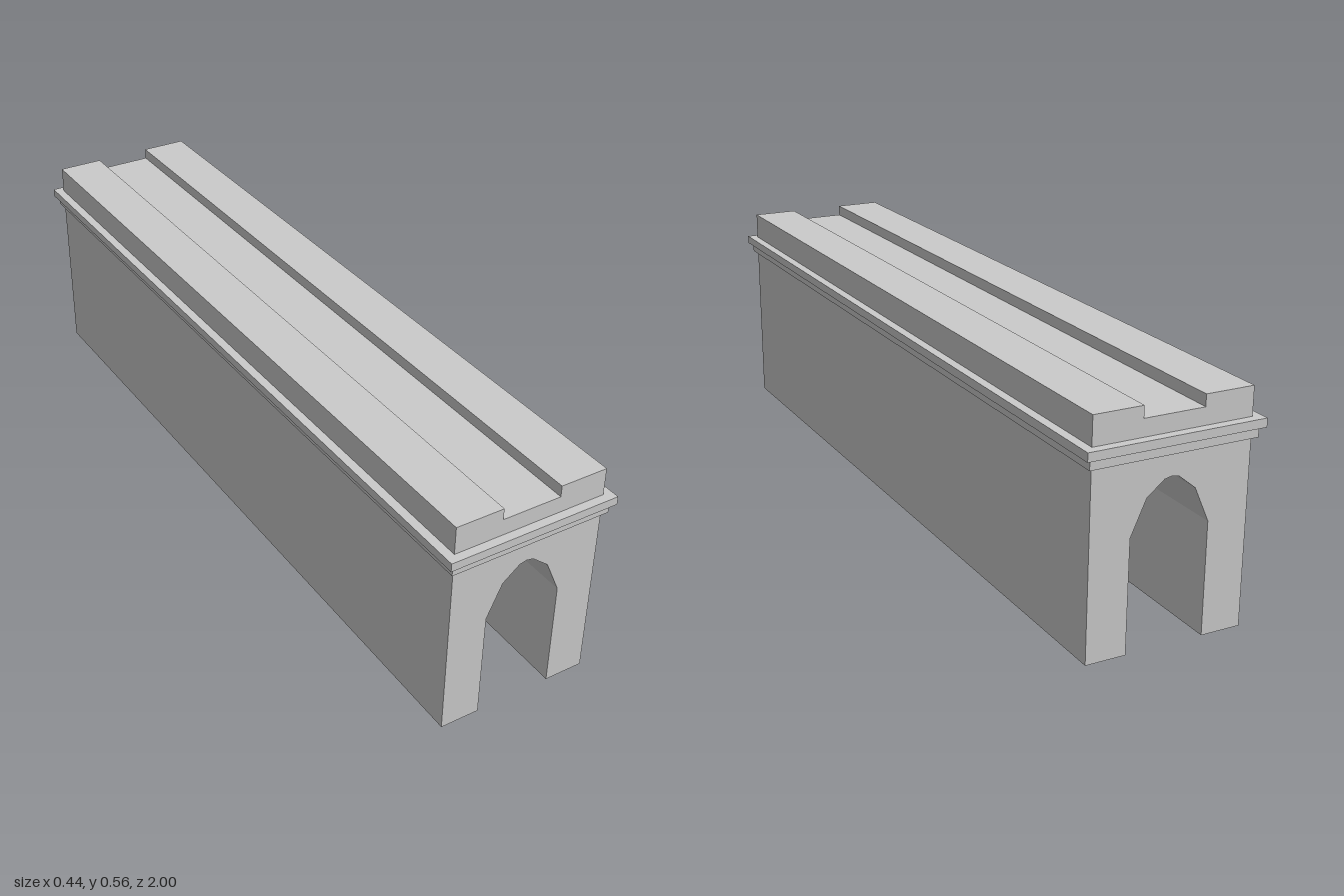
import * as THREE from 'three';

export function createModel() {
  const group = new THREE.Group();
  group.name = 'archedViaduct';
  const material = new THREE.MeshStandardMaterial({ color: 0xcccccc, flatShading: true });

  const add = (name, geometry, y = 0) => {
    const mesh = new THREE.Mesh(geometry, material);
    mesh.name = name;
    mesh.position.y = y;
    group.add(mesh);
  };

  // Right half of the cross-section, from the arch crown round to the deck
  const half = [
    [0.018, 0.388], [0.06, 0.354], [0.097, 0.271], [0.097, 0],
    [0.196, 0], [0.196, 0.559], [0.075, 0.559], [0.075, 0.531],
  ];
  const mirrored = half.map(([x, y]) => [-x, y]).reverse();
  const outline = [[0, 0.392], ...half, ...mirrored].map(([x, y]) => new THREE.Vector2(x, y));

  // Walls, vault, parapets and recessed deck in one extrusion
  const bodyLength = 1.956;
  const body = new THREE.ExtrudeGeometry(new THREE.Shape(outline), {
    depth: bodyLength, bevelEnabled: false,
  });
  body.translate(0, 0, -bodyLength / 2);
  add('archedBody', body);

  // Stepped cornice running round all four sides: width, bottom, top, length
  const bands = [
    ['lowerCornice', 0.413, 0.445, 0.469, 1.978],
    ['upperCornice', 0.437, 0.469, 0.49, 2],
  ];
  for (const [name, width, bottom, top, length] of bands) {
    add(name, new THREE.BoxGeometry(width, top - bottom, length), (bottom + top) / 2);
  }

  return group;
}
